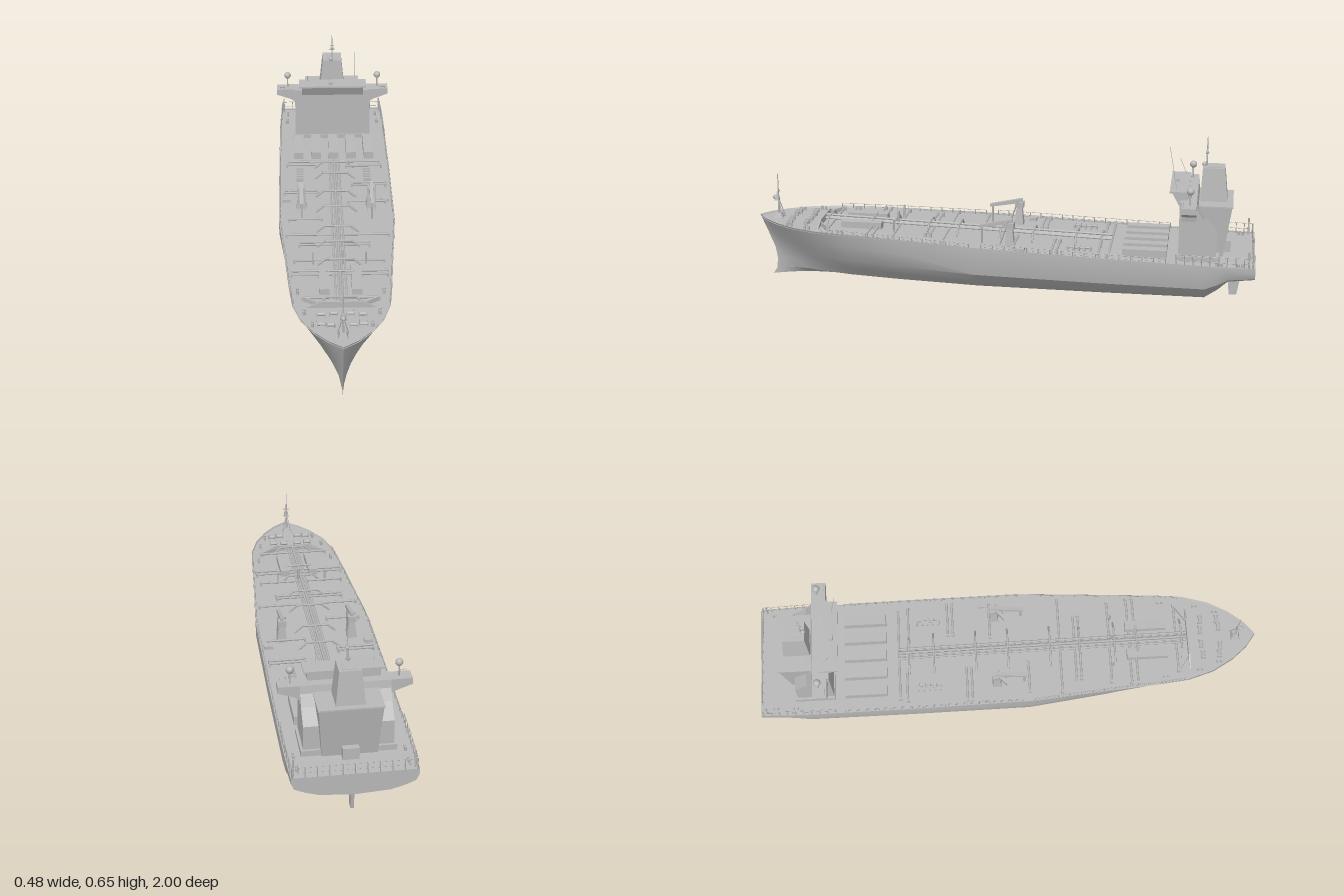
import * as THREE from 'three';
import { toCreasedNormals } from 'three/addons/utils/BufferGeometryUtils.js';

const grey = new THREE.MeshStandardMaterial({ color: 0xb8b8b8, side: THREE.DoubleSide });
grey.name = 'ship grey';
const V = (x, y, z) => new THREE.Vector3(x, y, z);

export function createModel() {
  const ship = new THREE.Group();
  ship.name = 'tanker';

  const add = (name, geo, x = 0, y = 0, z = 0) => {
    const m = new THREE.Mesh(geo, grey);
    m.name = name;
    m.position.set(x, y, z);
    ship.add(m);
    return m;
  };
  // y is the underside of the box
  const box = (name, w, h, d, x, y, z) => add(name, new THREE.BoxGeometry(w, h, d), x, y + h / 2, z);
  const rod = (name, a, b, r = 0.002, r2 = r, sides = 6) => {
    const dir = b.clone().sub(a);
    const m = add(name, new THREE.CylinderGeometry(r2, r, dir.length(), sides));
    m.position.copy(a).addScaledVector(dir, 0.5);
    m.quaternion.setFromUnitVectors(V(0, 1, 0), dir.normalize());
    return m;
  };
  const path = (name, pts, r) => pts.slice(1).forEach((p, i) => rod(name, pts[i], p, r));
  const loft = (name, rows, crease = 0.6) => {
    const n = rows[0].length, idx = [];
    for (let i = 0; i < rows.length - 1; i++) for (let j = 0; j < n - 1; j++) {
      const a = i * n + j, c = a + n;
      idx.push(a, c, a + 1, a + 1, c, c + 1);
    }
    const g = new THREE.BufferGeometry().setFromPoints(rows.flat());
    g.setIndex(idx);
    return add(name, toCreasedNormals(g, crease));
  };
  // outline in (x, y), extruded along z from z0 to z1
  const plate = (name, pts, z0, z1) => {
    const s = new THREE.Shape(pts.map(p => new THREE.Vector2(...p)));
    return add(name, new THREE.ExtrudeGeometry(s, { depth: z1 - z0, bevelEnabled: false }), 0, 0, z0);
  };
  // outline in (z, y), extruded across the ship
  const profile = (name, pts, halfWidth) => {
    const s = new THREE.Shape(pts.map(([z, y]) => new THREE.Vector2(-z, y)));
    const m = add(name, new THREE.ExtrudeGeometry(s, { depth: 2 * halfWidth, bevelEnabled: false }), -halfWidth, 0, 0);
    m.rotation.y = Math.PI / 2;
    return m;
  };
  // box whose top differs in size and offset from its base
  const taper = (name, w, d, w2, d2, h, x, y, z, dz = 0) => {
    const g = new THREE.BoxGeometry(1, h, 1), p = g.attributes.position;
    for (let i = 0; i < p.count; i++) {
      const top = p.getY(i) > 0;
      p.setX(i, p.getX(i) * (top ? w2 : w));
      p.setZ(i, p.getZ(i) * (top ? d2 : d) + (top ? dz : 0));
    }
    g.computeVertexNormals();
    return add(name, g, x, y + h / 2, z);
  };

  // Hull stations: z, half width, keel height, sheer height, bow fineness, stem rake
  const stations = [
    [-1, 0.226, 0.115, 0.2, 0, 0], [-0.9, 0.23, 0.1, 0.201, 0, 0], [-0.86, 0.231, 0.06, 0.202, 0, 0],
    [-0.81, 0.232, 0.022, 0.203, 0, 0], [-0.4, 0.233, 0.02, 0.215, 0, 0], [0.08, 0.23, 0.02, 0.232, 0, 0],
    [0.4, 0.205, 0.02, 0.243, 0.12, 0], [0.6, 0.19, 0.02, 0.248, 0.3, 0], [0.72, 0.178, 0.02, 0.25, 0.5, 0.15],
    [0.82, 0.148, 0.02, 0.252, 0.72, 0.4], [0.9, 0.103, 0.014, 0.254, 0.88, 0.7], [0.96, 0.053, 0.008, 0.256, 1, 0.9],
    [1, 0, 0.003, 0.257, 1, 1]];
  const levels = [0, 0.1, 0.27, 0.46, 0.73, 1];
  const full = [0, 0.56, 0.78, 0.95, 1, 1], fine = [0, 0.08, 0.17, 0.32, 0.66, 1];
  const rake = [0.045, 0.062, 0.066, 0.058, 0.03, 0];
  const half = ([z, w, k, top, f, r]) => levels.map((v, j) =>
    V(w * THREE.MathUtils.lerp(full[j], fine[j], f), k + (top - k) * v, z - rake[j] * r));
  const mirror = p => V(-p.x, p.y, p.z);
  const sides = stations.map(half);
  loft('hull', sides.map(s => [...s.slice(1).reverse(), ...s.map(mirror)]), 0.5);
  loft('transom', sides[0].map(p => [mirror(p), p]));
  loft('deck', stations.map(([z, w, , top]) => [V(-w, top - 0.007, z), V(w, top - 0.007, z)]));
  const at = (z, col) => {
    const i = Math.max(1, stations.findIndex(s => s[0] >= z)), a = stations[i - 1], b = stations[i];
    return THREE.MathUtils.lerp(a[col], b[col], (z - a[0]) / (b[0] - a[0]));
  };
  const deckY = z => at(z, 3) - 0.008;
  profile('rudder', [[-0.895, 0.13], [-0.955, 0.13], [-0.935, 0.012], [-0.905, 0.012]], 0.006);

  // Accommodation block, bridge and funnel casing
  box('houseBase', 0.345, 0.022, 0.16, 0, 0.195, -0.78);
  profile('house', [[-0.705, 0.2], [-0.705, 0.43], [-0.77, 0.43], [-0.775, 0.4], [-0.8, 0.36], [-0.85, 0.31], [-0.85, 0.2]], 0.163);
  plate('bridgeWings', [[-0.241, 0.43], [0.241, 0.43], [0.241, 0.406], [0.18, 0.384], [0.166, 0.374], [0.163, 0.355],
    [-0.163, 0.355], [-0.166, 0.374], [-0.18, 0.384], [-0.241, 0.406]], -0.77, -0.714);
  profile('wheelhouse', [[-0.7, 0.41], [-0.672, 0.462], [-0.735, 0.462], [-0.735, 0.41]], 0.132);
  box('wheelhouseRoof', 0.29, 0.007, 0.075, 0, 0.459, -0.702);
  box('roofHatch', 0.018, 0.01, 0.015, -0.008, 0.466, -0.69);
  taper('engineCasing', 0.2, 0.09, 0.23, 0.125, 0.205, 0, 0.2, -0.83, -0.012);
  box('casingRim', 0.236, 0.006, 0.132, 0, 0.4, -0.842);
  box('casingDoorHouse', 0.06, 0.045, 0.03, 0, 0.197, -0.89);
  taper('funnel', 0.106, 0.105, 0.08, 0.085, 0.13, 0, 0.405, -0.832, 0.004);
  box('funnelTop', 0.05, 0.004, 0.06, 0, 0.533, -0.83);

  // Masts, domes and aerials
  rod('aftMast', V(0, 0.53, -0.8), V(0, 0.65, -0.8), 0.004, 0.0012);
  [[0.58, 0.024], [0.598, 0.016], [0.615, 0.01]].forEach(([y, w]) => box('mastYard', w, 0.003, 0.006, 0, y, -0.8));
  add('mastDome', new THREE.SphereGeometry(0.007, 10, 8), 0, 0.588, -0.8);
  add('roofDome', new THREE.SphereGeometry(0.009, 10, 8), -0.004, 0.54, -0.79);
  for (const s of [-1, 1]) {
    rod('domePost', V(s * 0.195, 0.43, -0.745), V(s * 0.195, 0.475, -0.745), 0.003);
    add('radarDome', new THREE.SphereGeometry(0.0145, 14, 10), s * 0.195, 0.485, -0.745);
    path('wingRail', [V(s * 0.207, 0.43, -0.72), V(s * 0.207, 0.44, -0.72), V(s * 0.228, 0.44, -0.72), V(s * 0.228, 0.43, -0.72)], 0.001);
  }
  [[-0.11, 0.53, -0.725], [0.095, 0.628, -0.69], [0.11, 0.48, -0.7]].forEach(([x, y, z]) =>
    rod('aerial', V(x, 0.46, z), V(x, y, z + 0.03), 0.0009));
  const fy = deckY(0.92);
  rod('foremast', V(0, fy, 0.92), V(0, 0.43, 0.92), 0.005, 0.0015);
  taper('foremastLamp', 0.022, 0.018, 0.01, 0.01, 0.024, 0, 0.32, 0.925);
  add('foremastBell', new THREE.SphereGeometry(0.009, 10, 8), 0, 0.332, 0.935);
  box('foremastYard', 0.028, 0.003, 0.006, 0, 0.355, 0.92);
  for (const s of [-1, 1]) rod('foremastStay', V(s * 0.02, fy, 0.9), V(0, 0.33, 0.92), 0.002);
  taper('mastFoot', 0.036, 0.036, 0.022, 0.022, 0.02, 0, fy, 0.92);

  // Deck tanks
  for (const x of [-0.15, -0.075, 0, 0.075, 0.15]) box('aftDeckTank', 0.042, 0.034, 0.17, x, deckY(-0.57), -0.575);
  for (const x of [-0.06, 0.06]) box('foreDeckTank', 0.038, 0.027, 0.165, x, deckY(0.56), 0.56);

  // Central pipe rack with its arched frames
  for (const x of [-0.02, -0.007, 0.007, 0.02])
    path('cargoPipe', [-0.44, 0.05, 0.72].map(z => V(x, deckY(z) + 0.018, z)), 0.0045);
  path('catwalk', [V(0, deckY(-0.44) + 0.03, -0.44), V(0, deckY(0.72) + 0.026, 0.72)], 0.005);
  for (const z of [-0.4, -0.3, -0.13, 0, 0.17, 0.29, 0.43, 0.52, 0.7]) {
    const y = deckY(z);
    path('pipeFrame', [V(-0.085, y, z), V(-0.05, y + 0.03, z), V(0.05, y + 0.03, z), V(0.085, y, z)], 0.004);
  }
  // Cross pipes: z, from x, to x
  [[-0.44, -0.19, 0.19], [-0.41, -0.2, -0.08], [-0.4, 0.05, 0.2], [-0.24, 0.07, 0.21], [-0.22, 0.07, 0.21], [-0.17, -0.21, -0.07],
    [-0.15, -0.21, -0.07], [-0.07, 0.05, 0.2], [0.08, -0.19, -0.06], [0.21, -0.2, 0.2], [0.27, -0.15, 0.12], [0.29, -0.15, 0.12],
    [0.41, -0.17, 0.17], [0.49, -0.18, 0.18], [0.515, -0.18, 0.18], [0.68, -0.14, 0.14]].forEach(([z, a, b]) => {
    const y = deckY(z) + 0.013;
    rod('crossPipe', V(a, y, z), V(b, y, z), 0.0045);
    for (const x of [a, b]) box('pipeStand', 0.008, 0.018, 0.012, x, deckY(z), z);
  });
  // Valve racks beside the pipes
  for (const x of [-0.145, 0.135]) {
    rod('valveLine', V(x, deckY(-0.32) + 0.012, -0.37), V(x, deckY(-0.32) + 0.012, -0.27), 0.004);
    for (let i = 0; i < 5; i++) box('valve', 0.03, 0.018, 0.008, x, deckY(-0.32), -0.365 + i * 0.022);
  }
  rod('ventMast', V(0.012, deckY(0.42), 0.42), V(0.012, 0.3, 0.42), 0.005);
  for (const s of [-1, 1]) rod('ventPost', V(s * 0.1, deckY(0.42), 0.42), V(s * 0.1, 0.29, 0.42), 0.004);

  // Hose cranes
  for (const s of [-1, 1]) {
    const x = s * 0.14, y = deckY(-0.05);
    taper('cranePedestal', 0.04, 0.036, 0.022, 0.022, 0.075, x, y, -0.05);
    box('craneHouse', 0.032, 0.024, 0.034, x, y + 0.07, -0.05);
    profile('craneJib', [[-0.06, 0.328], [0.07, 0.3], [0.07, 0.288], [-0.06, 0.31]], 0.007).position.x = x - 0.007;
    rod('jibRest', V(x, deckY(0.06), 0.06), V(x, 0.29, 0.06), 0.004);
    for (const dx of [-0.015, 0.015]) rod('craneTie', V(x + dx, y, -0.01), V(x + dx, 0.322, -0.045), 0.0025);
    box('manifoldTray', 0.035, 0.014, 0.03, s * 0.2, deckY(-0.1), -0.1);
  }

  // Forecastle: breakwater, winches and bollards
  const by = deckY(0.73);
  plate('breakwater', [[-0.13, by], [0.13, by], [0.075, by + 0.026], [-0.075, by + 0.026]], 0.725, 0.731);
  for (const s of [-1, 1]) {
    const arm = box('breakwaterArm', 0.08, 0.018, 0.005, s * 0.105, by, 0.705);
    arm.rotation.y = s * 0.6;
    [[0.03, 0.78], [0.075, 0.785], [0.04, 0.855], [0.075, 0.85]].forEach(([x, z]) => {
      const y = deckY(z);
      rod('winchDrum', V(s * x - 0.014, y + 0.01, z), V(s * x + 0.014, y + 0.01, z), 0.007, 0.007, 10);
      for (const e of [-1, 1]) box('winchCheek', 0.004, 0.02, 0.018, s * x + e * 0.014, y, z);
    });
    for (const z of [-0.95, -0.87, 0.62, 0.76, 0.84]) for (const d of [0, 0.016]) {
      const x = s * (at(z, 1) - 0.03);
      rod('bollard', V(x, deckY(z), z + d), V(x, deckY(z) + 0.016, z + d), 0.005, 0.005, 8);
    }
  }

  // Side and stern railings
  const rail = (pts, h) => {
    for (const p of pts) rod('railPost', p, p.clone().add(V(0, h, 0)), 0.0018, 0.0018, 4);
    for (const f of [0.5, 1]) path('railBar', pts.map(p => p.clone().add(V(0, h * f, 0))), 0.0011);
  };
  for (const s of [-1, 1]) {
    const run = (z0, z1, n, h) => rail(Array.from({ length: n + 1 }, (_, i) => {
      const z = z0 + (z1 - z0) * i / n;
      return V(s * (at(z, 1) - 0.005), deckY(z), z);
    }), h);
    run(-0.99, -0.7, 9, 0.045);
    run(-0.66, 0.05, 16, 0.024);
    run(0.1, 0.7, 13, 0.02);
    rod('sternPost', V(s * 0.215, 0.19, -0.975), V(s * 0.215, 0.262, -0.975), 0.0035);
  }
  rail(Array.from({ length: 11 }, (_, i) => V(-0.22 + i * 0.044, 0.192, -0.992)), 0.045);

  // The ship lies very slightly turned about its centre
  ship.rotation.y = 0.0125;
  ship.position.x = 0.006;
  const model = new THREE.Group();
  model.name = 'tankerShip';
  model.add(ship);
  return model;
}
